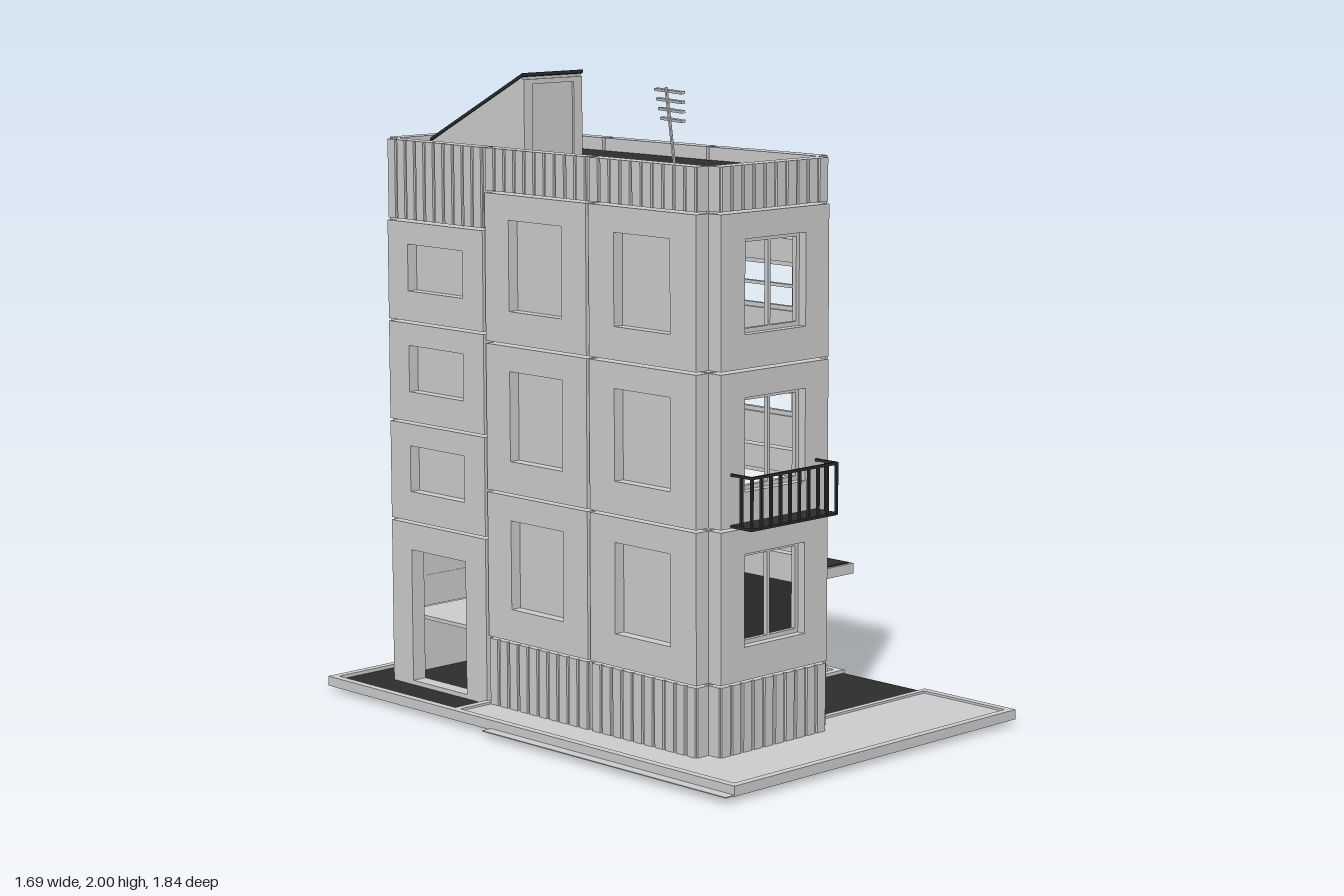
import * as THREE from 'three';

const material = (color, side = THREE.FrontSide) =>
  new THREE.MeshStandardMaterial({ color, side, flatShading: true });
const GREY = material(0xcccccc), GREY2 = material(0xcccccc, THREE.DoubleSide);
const DARK = material(0x2c2c2c), GREEN = material(0x237a17), PURPLE = material(0x8040e8, THREE.DoubleSide);

function add(parent, name, geo, mat = GREY, x = 0, y = 0, z = 0) {
  const m = new THREE.Mesh(geo, mat);
  m.name = name;
  m.position.set(x, y, z);
  parent.add(m);
  return m;
}
function group(parent, name, x = 0, y = 0, z = 0, ry = 0) {
  const g = new THREE.Group();
  g.name = name;
  g.position.set(x, y, z);
  g.rotation.y = ry;
  parent.add(g);
  return g;
}
// Box given by its limits on each axis
function block(parent, name, x0, x1, y0, y1, z0, z1, mat = GREY) {
  return add(parent, name, new THREE.BoxGeometry(x1 - x0, y1 - y0, z1 - z0), mat,
    (x0 + x1) / 2, (y0 + y1) / 2, (z0 + z1) / 2);
}
// Round bar between two points
function rod(parent, name, a, b, r, mat = GREY) {
  const p = new THREE.Vector3(...a), q = new THREE.Vector3(...b);
  const m = add(parent, name, new THREE.CylinderGeometry(r, r, p.distanceTo(q), 6), mat);
  m.position.copy(p).lerp(q, 0.5);
  m.quaternion.setFromUnitVectors(new THREE.Vector3(0, 1, 0), q.sub(p).normalize());
  return m;
}
function rectPath(path, x0, x1, y0, y1) {
  return path.moveTo(x0, y0).lineTo(x1, y0).lineTo(x1, y1).lineTo(x0, y1).closePath();
}

const T = 0.05, W = 0.452; // wall thickness, panel width

// Wall panel with an optional opening [halfWidth, y0, y1]; outer face at z = 0
function panel(parent, cx, y0, y1, hole) {
  const s = rectPath(new THREE.Shape(), cx - W / 2, cx + W / 2, y0, y1);
  if (hole) s.holes.push(rectPath(new THREE.Path(), cx - hole[0], cx + hole[0], hole[1], hole[2]));
  add(parent, 'wallPanel', new THREE.ExtrudeGeometry(s, { depth: T, bevelEnabled: false }), GREY, 0, 0, -T);
}
// Ribbed strip used for plinth and parapet
function ribbed(parent, name, cx, y0, y1) {
  block(parent, name, cx - W / 2, cx + W / 2, y0, y1, -T, -0.007);
  for (let i = 0; i < 10; i++) {
    const x = cx - W / 2 + (i + 0.5) * W / 10;
    block(parent, name + 'Rib', x - 0.017, x + 0.017, y0, y1, -0.008, 0);
  }
}
// Two-pane framed window, or a plain recessed pane
function windowUnit(parent, cx, hw, y0, y1, framed, stacked) {
  if (!framed) return block(parent, 'windowPane', cx - hw, cx + hw, y0, y1, -0.048, -0.036);
  const s = rectPath(new THREE.Shape(), cx - hw, cx + hw, y0, y1), b = 0.013, m = 0.005;
  const ym = (y0 + y1) / 2;
  const panes = stacked
    ? [[cx - hw + b, cx + hw - b, y0 + b, ym - m], [cx - hw + b, cx + hw - b, ym + m, y1 - b]]
    : [[cx - hw + b, cx - m, y0 + b, y1 - b], [cx + m, cx + hw - b, y0 + b, y1 - b]];
  for (const p of panes) s.holes.push(rectPath(new THREE.Path(), ...p));
  add(parent, 'windowFrame', new THREE.ExtrudeGeometry(s, { depth: 0.015, bevelEnabled: false }), GREY, 0, 0, -0.042);
}
function windowColumn(parent, cx, hw, framed) {
  ribbed(parent, 'plinth', cx, 0.035, 0.25);
  for (let f = 0; f < 3; f++) {
    const y = 0.257 + f * 0.463;
    panel(parent, cx, y, y + 0.455, [hw, y + 0.1, y + 0.378]);
    windowUnit(parent, cx, hw, y + 0.1, y + 0.378, framed, false);
  }
  ribbed(parent, 'parapet', cx, 1.645, 1.775);
}
function stairColumn(parent, cx, framed) {
  panel(parent, cx, 0.035, 0.56, [0.13, 0.05, 0.475]);
  for (let f = 0; f < 3; f++) {
    const y = 0.568 + f * 0.32;
    panel(parent, cx, y, y + 0.312, [0.13, y + 0.095, y + 0.242]);
    windowUnit(parent, cx, 0.13, y + 0.095, y + 0.242, framed, true);
  }
  ribbed(parent, 'parapet', cx, 1.528, 1.775);
}

function antenna(parent, name, x, y, z, ry, tilt, h) {
  const g = group(parent, name, x, y, z, ry);
  g.rotation.order = 'YXZ';
  g.rotation.z = tilt;
  rod(g, 'mast', [0, 0, 0], [0, h, 0], 0.005);
  for (let i = 0; i < 4; i++) {
    const by = h - 0.012 - i * 0.028, l = 0.09 - i * 0.006;
    block(g, 'antennaBar', -l, l, by - 0.004, by + 0.004, 0.004, 0.016);
  }
  return g;
}

function building(root) {
  const b = group(root, 'building');
  windowColumn(group(b, 'frontWall', -0.383, 0, 0.66), 0, 0.127, true);
  windowColumn(group(b, 'backWall', -0.383, 0, -0.82, Math.PI), 0, 0.135, false);
  for (const [name, x, ry, framed] of [['rightWall', -0.107, Math.PI / 2, true], ['leftWall', -0.66, -Math.PI / 2, false]]) {
    const w = group(b, name, x, 0, -0.08, ry);
    stairColumn(w, -0.464, framed);
    windowColumn(w, 0, 0.118, framed);
    windowColumn(w, 0.464, 0.118, framed);
  }
  // Floors and roof deck
  for (const y of [0.255, 0.715, 1.178]) block(b, 'floor', -0.61, -0.157, y - 0.012, y, -0.77, 0.61);
  block(b, 'groundFloor', -0.61, -0.157, 0.03, 0.045, -0.77, 0.61, DARK);
  block(b, 'roofDeck', -0.61, -0.157, 1.7, 1.735, -0.77, 0.61, DARK);
  // Entrance
  block(b, 'entranceDoor', -0.145, -0.13, 0.05, 0.475, 0.254, 0.514, DARK);
  block(b, 'doorHandle', -0.13, -0.117, 0.285, 0.3, 0.29, 0.31);
  block(b, 'canopy', -0.107, 0.062, 0.478, 0.51, 0.21, 0.565);
  block(b, 'canopyTop', -0.107, 0.052, 0.509, 0.513, 0.22, 0.556, DARK);
  rod(b, 'lampArm', [-0.107, 0.425, 0.21], [-0.06, 0.425, 0.21], 0.005);
  add(b, 'lamp', new THREE.SphereGeometry(0.016, 8, 6), GREY, -0.07, 0.425, 0.21);
  // Curtains in the top middle window
  for (const [z0, z1] of [[-0.185, -0.08], [-0.07, 0.037]])
    block(b, 'curtain', -0.152, -0.148, 1.38, 1.55, z0, z1, PURPLE);
  // Balcony
  const k = group(b, 'balcony');
  block(k, 'balconyFloor', -0.57, -0.205, 0.722, 0.73, 0.66, 0.745, DARK);
  block(k, 'handrail', -0.57, -0.205, 0.874, 0.882, 0.738, 0.747, DARK);
  for (const x of [-0.566, -0.209]) {
    block(k, 'sideRail', x - 0.004, x + 0.004, 0.874, 0.882, 0.66, 0.745, DARK);
    block(k, 'baluster', x - 0.004, x + 0.004, 0.725, 0.88, 0.697, 0.705, DARK);
  }
  for (let i = 0; i < 10; i++) {
    const x = -0.566 + i * 0.0397;
    block(k, 'baluster', x - 0.004, x + 0.004, 0.725, 0.88, 0.739, 0.747, DARK);
  }
  // Sloped roof exit
  const s = new THREE.Shape().moveTo(0.235, 1.73).lineTo(0.235, 1.99).lineTo(0.66, 1.77).lineTo(0.66, 1.73).closePath();
  const exit = add(b, 'roofExit', new THREE.ExtrudeGeometry(s, { depth: 0.24, bevelEnabled: false }), GREY, -0.325);
  exit.rotation.y = Math.PI / 2;
  exit.position.x = -0.565;
  const lid = new THREE.Shape().moveTo(0.23, 1.99).lineTo(0.23, 2).lineTo(0.665, 1.778).lineTo(0.665, 1.768).closePath();
  add(b, 'roofExitLid', new THREE.ExtrudeGeometry(lid, { depth: 0.25, bevelEnabled: false }), DARK, -0.57).rotation.y = Math.PI / 2;
  for (const [x0, x1, y0, y1] of [[-0.565, -0.53, 1.73, 1.98], [-0.36, -0.325, 1.73, 1.98], [-0.53, -0.36, 1.965, 1.98]])
    block(b, 'roofExitFrame', x0, x1, y0, y1, -0.236, -0.228);
  antenna(b, 'roofAntenna', -0.555, 1.73, 0.42, 1.25, 0, 0.26).rotation.x = -0.12;
  const wallAntenna = antenna(b, 'wallAntenna', -0.105, 1.45, -0.26, 1.45, -0.2, 0.165);
  wallAntenna.rotation.x = 0.3;
  wallAntenna.scale.x = 0.72;
}

function ground(root) {
  const g = group(root, 'ground');
  block(g, 'road', -0.785, 0.848, 0.018, 0.036, -0.895, -0.325, DARK);
  block(g, 'path', -0.157, 0.425, 0.018, 0.036, 0.19, 0.54, DARK);
  block(g, 'playground', -0.157, 0.405, 0.02, 0.034, -0.3, 0.165);
  block(g, 'sideWalk', -0.785, -0.157, 0.018, 0.04, -0.3, 0.56);
  block(g, 'frontWalk', -0.785, 0.4, 0.018, 0.04, 0.56, 0.89);
  block(g, 'edgeStrip', -0.845, -0.8, 0.018, 0.021, -0.13, 0.915);
  const kerbs = [[-0.81, 0.848, -0.92, -0.895], [-0.81, -0.785, -0.895, 0.915], [-0.785, 0.848, -0.325, -0.3],
    [0.405, 0.43, -0.3, 0.19], [-0.107, 0.405, 0.165, 0.19], [-0.107, 0.425, 0.54, 0.56],
    [0.4, 0.425, 0.56, 0.915], [-0.785, 0.4, 0.89, 0.915]];
  for (const [x0, x1, z0, z1] of kerbs) block(g, 'kerb', x0, x1, 0.016, 0.047, z0, z1);
}

function playground(root) {
  // Half-buried tyres
  const profile = [[0.052, -0.024], [0.075, -0.033], [0.086, -0.022], [0.086, 0.022], [0.075, 0.033], [0.052, 0.024]]
    .map(p => new THREE.Vector2(...p));
  const tyre = new THREE.LatheGeometry(profile, 16, Math.PI / 2 - 0.35, Math.PI + 0.7).rotateX(Math.PI / 2);
  for (const [x, z, turn] of [[0.04, -0.295, 0], [0.228, -0.29, 0], [0.367, -0.255, 1], [0.367, -0.1, 1], [0.367, 0.07, 1]])
    add(root, 'buriedTyre', tyre, GREY2, x, 0.029, z).rotation.y = turn * Math.PI / 2;
  // Bench
  const b = group(root, 'bench', 0.08, 0, 0);
  for (let i = 0; i < 3; i++) {
    block(b, 'seatSlat', -0.142, 0.142, 0.108, 0.116, 0.125 + i * 0.026, 0.147 + i * 0.026);
    block(b, 'backSlat', -0.142, 0.142, 0.13 + i * 0.027, 0.152 + i * 0.027, 0.107 - i * 0.006, 0.114 - i * 0.006);
  }
  for (const x of [-0.095, 0.095]) {
    rod(b, 'benchBackPost', [x, 0.1, 0.118], [x, 0.205, 0.09], 0.006);
    rod(b, 'benchRail', [x, 0.103, 0.112], [x, 0.103, 0.2], 0.006);
    const leg = new THREE.QuadraticBezierCurve3(new THREE.Vector3(x, 0.035, 0.1), new THREE.Vector3(x, 0.165, 0.155), new THREE.Vector3(x, 0.035, 0.2));
    add(b, 'benchLeg', new THREE.TubeGeometry(leg, 10, 0.008, 6), GREY);
  }
  // Litter bin
  const bin = [[0, 0.035], [0.026, 0.035], [0.034, 0.13], [0.029, 0.13], [0.024, 0.045], [0, 0.045]];
  add(root, 'litterBin', new THREE.LatheGeometry(bin.map(p => new THREE.Vector2(...p)), 14), GREY2, 0.27, 0, 0.128);
}

function car(root) {
  const c = group(root, 'car', 0, 0, -0.583);
  // Body side profile with wheel arches
  const s = new THREE.Shape().moveTo(0.107, 0.085).lineTo(0.118, 0.195).lineTo(0.215, 0.208)
    .lineTo(0.53, 0.208).lineTo(0.672, 0.19).lineTo(0.682, 0.13).lineTo(0.67, 0.07);
  for (const x of [0.57, 0.215]) s.lineTo(x + 0.047, 0.075).absarc(x, 0.08, 0.047, 0, Math.PI, false);
  s.closePath();
  add(c, 'carBody', new THREE.ExtrudeGeometry(s, { depth: 0.296, bevelThickness: 0.006, bevelSize: 0.004, bevelSegments: 1 }), GREEN, 0, 0, -0.148);
  block(c, 'carUnderside', 0.13, 0.66, 0.075, 0.15, -0.1, 0.1, DARK);
  // Tapered glasshouse, pillars and roof
  const low = [[0.215, 0.143], [0.53, 0.143]], top = [[0.245, 0.12], [0.49, 0.12]];
  const glass = new THREE.BoxGeometry(1, 1, 1), p = glass.attributes.position;
  for (let i = 0; i < p.count; i++) {
    const [x, z] = (p.getY(i) > 0 ? top : low)[p.getX(i) > 0 ? 1 : 0];
    p.setXYZ(i, x, p.getY(i) > 0 ? 0.275 : 0.205, Math.sign(p.getZ(i)) * z);
  }
  add(c, 'carWindows', glass, DARK);
  block(c, 'carRoof', 0.238, 0.497, 0.272, 0.285, -0.125, 0.125, GREEN);
  for (const sz of [-1, 1]) {
    for (let i = 0; i < 2; i++)
      rod(c, 'carPillar', [low[i][0], 0.205, sz * 0.143], [top[i][0], 0.278, sz * 0.12], 0.007, GREEN);
    rod(c, 'carPillar', [0.36, 0.205, sz * 0.143], [0.36, 0.278, sz * 0.12], 0.006, GREEN);
    for (const x of [0.57, 0.215]) {
      const tyre = new THREE.CylinderGeometry(0.04, 0.04, 0.035, 16).rotateX(Math.PI / 2);
      add(c, 'carTyre', tyre, DARK, x, 0.08, sz * 0.133);
      add(c, 'hubcap', new THREE.CylinderGeometry(0.024, 0.024, 0.008, 12).rotateX(Math.PI / 2), GREY, x, 0.08, sz * 0.152);
    }
    add(c, 'headlight', new THREE.CylinderGeometry(0.026, 0.026, 0.014, 14).rotateZ(Math.PI / 2), GREY, 0.68, 0.145, sz * 0.11);
    block(c, 'tailLight', 0.104, 0.114, 0.13, 0.17, sz * 0.125 - 0.015, sz * 0.125 + 0.015);
    block(c, 'bonnetVent', 0.555, 0.58, 0.2, 0.207, sz * 0.037 - 0.025, sz * 0.037 + 0.025, DARK);
    block(c, 'doorHandle', 0.27, 0.295, 0.18, 0.186, sz * 0.153 - 0.003, sz * 0.153 + 0.003);
  }
  block(c, 'grille', 0.672, 0.686, 0.125, 0.162, -0.08, 0.08);
  block(c, 'frontBumper', 0.67, 0.69, 0.075, 0.1, -0.15, 0.15);
  block(c, 'rearBumper', 0.1, 0.115, 0.08, 0.102, -0.15, 0.15);
}

export function createModel() {
  const root = new THREE.Group();
  root.name = 'apartmentBlock';
  ground(root);
  building(root);
  playground(root);
  car(root);
  return root;
}
